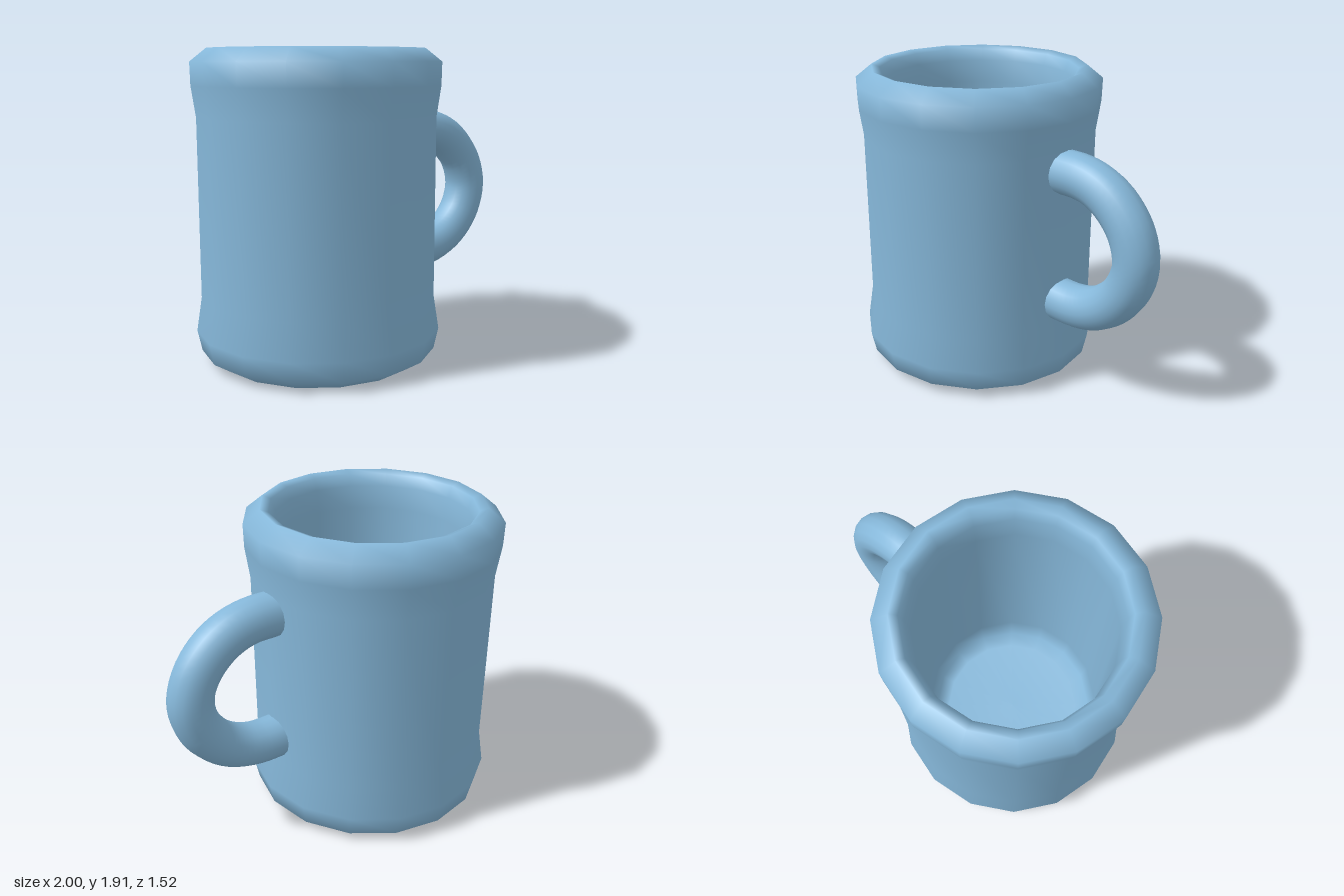
import * as THREE from 'three';

const GLAZE = new THREE.MeshStandardMaterial({ color: 0x86b8da });
const SIDES = 16;
const BODY_X = -0.245;
const HANDLE_ANGLE = THREE.MathUtils.degToRad(27.7);

// Closed wall profile: underside, flared outer wall, rim, inner wall, floor
function createBody() {
  const profile = [
    [0, 0.015], [0.58, 0.01], [0.64, 0], [0.735, 0.06], [0.763, 0.19],
    [0.73, 0.4], [0.73, 1.5], [0.757, 1.69], [0.76, 1.83], [0.66, 1.91],
    [0.61, 1.89], [0.585, 1.82], [0.565, 1.68], [0.565, 0.3],
    [0.53, 0.17], [0.45, 0.13], [0, 0.13],
  ].map(([r, y]) => new THREE.Vector2(r, y));
  const geometry = new THREE.LatheGeometry(
    profile, SIDES, THREE.MathUtils.degToRad(4.6), Math.PI * 2);
  const body = new THREE.Mesh(geometry, GLAZE);
  body.name = 'mugBody';
  return body;
}

// Round D-shaped handle, mirrored about its mid height, ends sunk in the wall
function createHandle() {
  const midY = 0.98;
  const upper = [[0.65, 0.41], [0.85, 0.408], [0.98, 0.375], [1.1, 0.3], [1.205, 0.17]];
  const lower = upper.map(([d, y]) => [d, -y]).reverse();
  const path = new THREE.CatmullRomCurve3(
    [...upper, [1.25, 0], ...lower].map(([d, y]) => new THREE.Vector3(d, midY + y, 0)));
  const handle = new THREE.Mesh(
    new THREE.TubeGeometry(path, 40, 0.133, 16, false), GLAZE);
  handle.name = 'handle';
  handle.rotation.y = HANDLE_ANGLE;
  return handle;
}

export function createModel() {
  const mug = new THREE.Group();
  mug.name = 'mug';
  const body = createBody();
  const handle = createHandle();
  body.position.x = handle.position.x = BODY_X;
  mug.add(body, handle);
  return mug;
}
